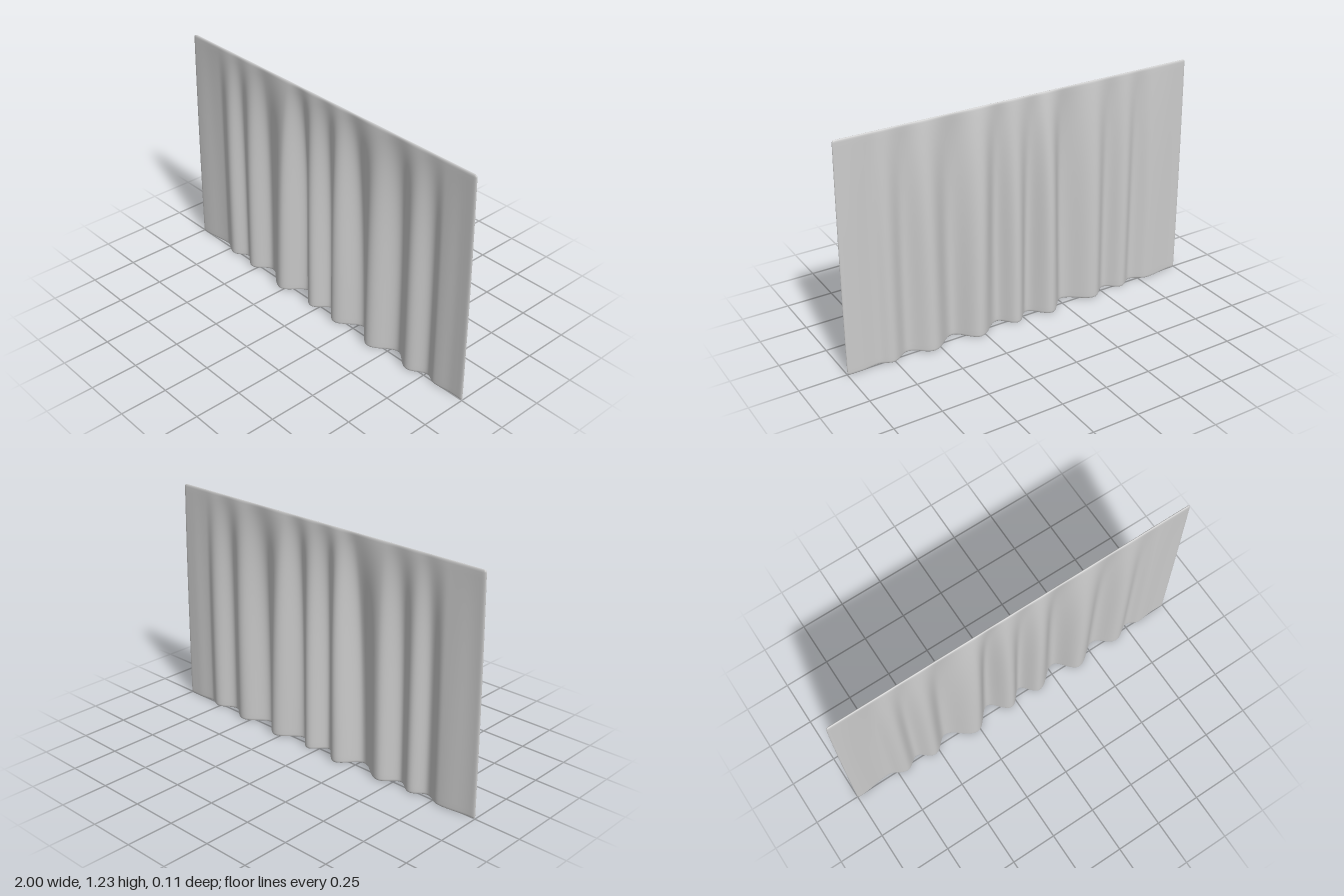
import * as THREE from 'three';
import { mergeGeometries, mergeVertices } from 'three/addons/utils/BufferGeometryUtils.js';

const HEIGHT = 1.23, HALF_THICK = 0.006, ROUND = 0.014;

// Fold crests and valleys: x at the hem, z at the hem, sideways drift towards the top
const FOLDS = [
  [-1.1, 0, 0], [-0.98, 0.001, 0], [-0.8, -0.017, 0], [-0.7, 0.021, 0], [-0.62, -0.022, 0],
  [-0.53, 0.028, 0.01], [-0.43, -0.037, 0.015], [-0.27, 0.046, 0.03], [-0.15, -0.049, 0.015],
  [-0.04, 0.032, -0.005], [0.05, -0.036, -0.005], [0.14, 0.034, 0], [0.28, -0.05, -0.03],
  [0.4, 0.042, 0], [0.54, -0.038, 0], [0.66, 0.027, 0], [0.76, -0.02, 0],
  [0.83, 0.005, 0], [0.93, -0.004, 0], [1.1, -0.001, 0],
];

// Smooth wave through the folds; t runs from 0 at the top to 1 at the hem
function foldDepth(x, t) {
  const at = (f) => f[0] + f[2] * (1 - t);
  let i = 0;
  while (i < FOLDS.length - 2 && x > at(FOLDS[i + 1])) i++;
  const a = FOLDS[i], b = FOLDS[i + 1];
  const u = THREE.MathUtils.clamp((x - at(a)) / (at(b) - at(a)), 0, 1);
  const wave = a[1] + (b[1] - a[1]) * (1 - Math.cos(Math.PI * u)) / 2;
  const swell = 1 - Math.pow(1 - t, 3.5);
  // Fine gathers that fade out towards the hem
  const gathers = 0.002 * Math.sin(44 * x + 1.3 * Math.sin(7 * x)) * Math.max(0, 1 - x * x)
    * t * Math.pow(1 - t, 2) * 5;
  return wave * swell + gathers;
}

// Grid positions 0..1 with extra rows packed into the rounded rim
function gridLine(count, rim) {
  const steps = [0, 0.06, 0.22, 0.5, 1].map((s) => s * rim);
  const line = [...steps];
  for (let i = 1; i < count; i++) line.push(rim + (1 - 2 * rim) * i / count);
  return line.concat(steps.reverse().map((s) => 1 - s));
}

// One face of the cloth: side = 1 is the front, -1 the back
function clothFace(side) {
  const us = gridLine(220, ROUND / 2), vs = gridLine(44, ROUND / HEIGHT);
  const geo = new THREE.PlaneGeometry(2, HEIGHT, us.length - 1, vs.length - 1);
  const pos = geo.attributes.position;
  const rim = (d) => Math.sqrt(Math.max(0, 1 - Math.pow(1 - Math.min(1, d / ROUND), 2)));
  vs.forEach((t, row) => us.forEach((u, col) => {
    const x0 = u * 2 - 1, dx = 1 - Math.abs(x0), dy = Math.min(t, 1 - t) * HEIGHT;
    // Round the four corners of the outline
    const px = Math.max(0, ROUND - dx), py = Math.max(0, ROUND - dy);
    const far = Math.hypot(px, py), k = far > 0 ? Math.max(px, py) / far : 1;
    const x = Math.sign(x0) * (1 - ROUND - Math.max(0, dx - ROUND) + px * k);
    const yIn = ROUND - py * k;
    const y = py > 0 ? (t < 0.5 ? HEIGHT - yIn : yIn) : HEIGHT * (1 - t);
    const slope = (foldDepth(x + 0.002, t) - foldDepth(x - 0.002, t)) / 0.004;
    const inset = ROUND - Math.max(px, py);
    const half = HALF_THICK * rim(inset) * Math.hypot(1, slope);
    // The width draws in slightly towards the top
    const width = 1 - 0.014 * Math.pow(1 - t, 2);
    pos.setXYZ(row * us.length + col, x * width, y, foldDepth(x, t) + side * half);
  }));
  if (side < 0) {
    const idx = geo.index.array;
    for (let i = 0; i < idx.length; i += 3) [idx[i], idx[i + 1]] = [idx[i + 1], idx[i]];
  }
  geo.deleteAttribute('normal');
  geo.deleteAttribute('uv');
  return geo;
}

export function createModel() {
  const group = new THREE.Group();
  group.name = 'curtain';
  // Join both faces along the rim so the edges shade softly
  const geo = mergeVertices(mergeGeometries([clothFace(1), clothFace(-1)]), 1e-5);
  geo.computeVertexNormals();
  const cloth = new THREE.Mesh(geo, new THREE.MeshStandardMaterial({ color: 0xcccccc }));
  cloth.name = 'curtainCloth';
  group.add(cloth);
  return group;
}
